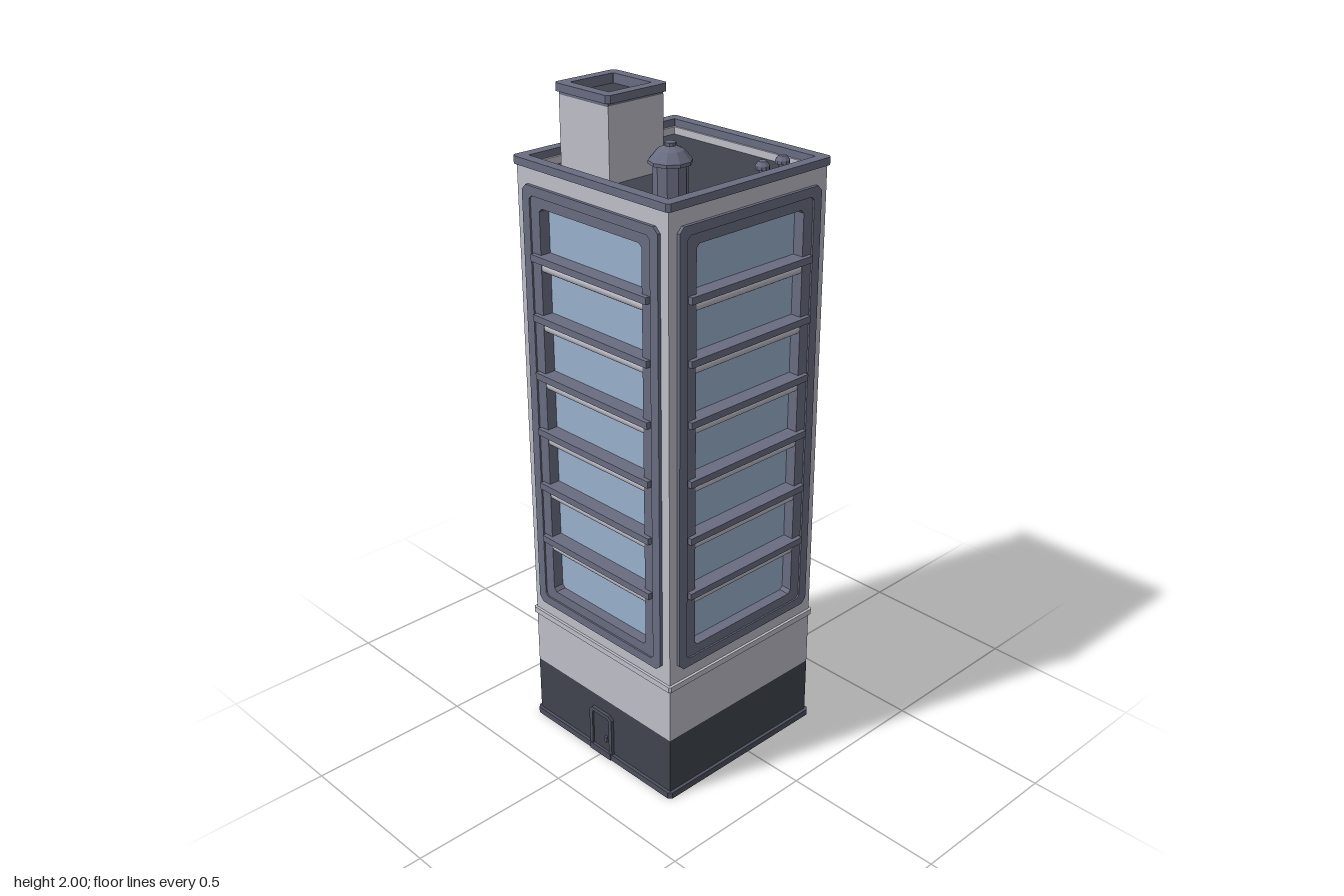
import * as THREE from 'three';

const mat = (name, color, side = THREE.FrontSide) => {
  const m = new THREE.MeshStandardMaterial({ color, side });
  m.name = name;
  return m;
};

export function createModel() {
  const wall = mat('pale wall', 0xbdbec8), dark = mat('charcoal', 0x40444d);
  const trim = mat('slate trim', 0x696c80), glass = mat('blue glass', 0x98b1cd);
  const green = mat('green awning', 0x43a77f), amber = mat('amber sign', 0xc8963f);
  const deep = mat('dark door trim', 0x4c4f5d);

  const model = new THREE.Group();
  model.name = 'officeTower';
  const H = 0.293, CZ = 0.027;
  const tower = new THREE.Group();
  tower.name = 'tower';
  tower.position.z = CZ;
  model.add(tower);

  const add = (parent, name, geo, m, x = 0, y = 0, z = 0) => {
    const mesh = new THREE.Mesh(geo, m);
    mesh.name = name;
    mesh.position.set(x, y, z);
    parent.add(mesh);
    return mesh;
  };
  const box = (parent, name, m, w, h, d, x, y, z) =>
    add(parent, name, new THREE.BoxGeometry(w, h, d), m, x, y, z);

  // Rectangle with cut corners, traced on a Shape or a Path
  const rect = (path, hw, hh, c) => {
    const pts = [[hw - c, -hh], [hw, -hh + c], [hw, hh - c], [hw - c, hh],
      [-hw + c, hh], [-hw, hh - c], [-hw, -hh + c], [-hw + c, -hh]];
    path.setFromPoints(pts.map(p => new THREE.Vector2(...p)));
    return path;
  };
  const plate = (hw, hh, c, depth, hole) => {
    const s = rect(new THREE.Shape(), hw, hh, c);
    if (hole) s.holes.push(rect(new THREE.Path(), ...hole));
    return new THREE.ExtrudeGeometry(s, { depth, bevelEnabled: false });
  };
  const slab = (...a) => plate(...a).rotateX(-Math.PI / 2);

  // Base, ledge and roof
  add(tower, 'plinth', slab(0.303, 0.303, 0.01, 0.02), deep);
  box(tower, 'groundFloor', dark, 2 * H, 0.19, 2 * H, 0, 0.105, 0);
  box(tower, 'firstFloor', wall, 2 * H, 0.2, 2 * H, 0, 0.3, 0);
  add(tower, 'ledge', slab(0.301, 0.301, 0.006, 0.018), wall, 0, 0.373, 0);
  box(tower, 'roofDeck', dark, 0.56, 0.02, 0.56, 0, 1.753, 0);
  add(tower, 'parapet', slab(0.303, 0.303, 0.01, 0.022, [0.27, 0.27, 0.001]), trim, 0, 1.783, 0);
  add(tower, 'parapetLining', slab(0.279, 0.279, 0.001, 0.05, [0.27, 0.27, 0.001]), trim, 0, 1.745, 0);

  // Four identical window walls
  const WY = 1.084, wallMid = 1.0915;
  for (let i = 0; i < 4; i++) {
    const side = new THREE.Group();
    side.name = 'windowWall' + (i + 1);
    side.rotation.y = i * Math.PI / 2;
    tower.add(side);
    const panel = new THREE.Shape();
    panel.setFromPoints([[-H, 0.39], [H, 0.39], [H, 1.784], [-H, 1.784]].map(p => new THREE.Vector2(...p)));
    panel.holes.push(new THREE.Path([[-0.23, 0.46], [-0.23, 1.708], [0.23, 1.708], [0.23, 0.46]]
      .map(p => new THREE.Vector2(...p))));
    add(side, 'wallPanel', new THREE.ExtrudeGeometry(panel, { depth: 0.03, bevelEnabled: false }), wall, 0, 0, H - 0.03);
    box(side, 'windowGlass', glass, 0.45, 1.24, 0.006, 0, WY, 0.262);
    add(side, 'outerFrame', plate(0.264, 0.652, 0.016, 0.014, [0.235, 0.625, 0.01]), trim, 0, WY, 0.289);
    add(side, 'innerFrame', plate(0.236, 0.626, 0.01, 0.036, [0.2, 0.595, 0.01]), trim, 0, WY, 0.262);
    for (let k = 0; k < 6; k++) {
      const y = 0.664 + k * 0.1745;
      box(side, 'floorBar', trim, 0.456, 0.02, 0.047, 0, y, 0.288);
      add(side, 'blindRoll', new THREE.CylinderGeometry(0.017, 0.017, 0.402, 16).rotateZ(Math.PI / 2),
        wall, 0, y - 0.026, 0.28);
    }
  }

  // A framed doorway facing +z, standing on its own y = 0
  const doorway = (parent, name, w, h, leafMat, frameMat) => {
    const g = new THREE.Group();
    g.name = name;
    parent.add(g);
    add(g, 'doorFrame', plate(w / 2, h / 2, 0.012, 0.012, [w / 2 - 0.013, h / 2 - 0.013, 0.004]), frameMat, 0, h / 2, -0.002);
    box(g, 'doorLeaf', leafMat, w - 0.02, h - 0.02, 0.006, 0, h / 2, 0.001);
    return g;
  };

  // Front service door
  const service = doorway(tower, 'frontDoor', 0.098, 0.155, dark, deep);
  service.position.z = H;
  box(service, 'doorHandle', trim, 0.006, 0.02, 0.008, 0.022, 0.065, 0.007);
  box(service, 'doorStep', deep, 0.09, 0.022, 0.014, 0, 0.011, 0.006);

  // Back entrance: glazed double door, shop windows, canopy and sign
  const entry = new THREE.Group();
  entry.name = 'backEntrance';
  entry.rotation.y = Math.PI;
  entry.position.z = -H;
  tower.add(entry);
  const main = doorway(entry, 'entranceDoor', 0.125, 0.175, glass, trim);
  box(main, 'doorMullion', deep, 0.01, 0.155, 0.012, 0, 0.085, 0.003);
  box(main, 'doorSill', deep, 0.11, 0.025, 0.012, 0, 0.0125, 0.004);
  for (const s of [-1, 1]) {
    box(main, 'pullHandle', deep, 0.004, 0.04, 0.008, s * 0.012, 0.085, 0.007);
    const shop = doorway(entry, 'shopWindow', 0.122, 0.148, glass, trim);
    shop.position.set(s * 0.203, 0.025, 0);
    box(shop, 'amberStrip', amber, 0.096, 0.015, 0.005, 0, 0.021, 0.003);
    box(shop, 'windowSill', deep, 0.13, 0.01, 0.016, 0, 0.004, 0.004);
    add(entry, 'canopyPost', new THREE.CylinderGeometry(0.006, 0.006, 0.178, 10), deep, s * 0.078, 0.089, 0.042);
  }
  const canopy = new THREE.Shape([[-0.097, 0], [0.097, 0], [0.097, 0.064], [0.086, 0.076], [-0.086, 0.076], [-0.097, 0.064]]
    .map(p => new THREE.Vector2(...p)));
  const awning = add(entry, 'awning', new THREE.ExtrudeGeometry(canopy, { depth: 0.01, bevelEnabled: false })
    .rotateX(Math.PI / 2), green, 0, 0.198, -0.001);
  awning.rotation.x = 0.3;
  add(entry, 'sign', plate(0.097, 0.022, 0.012, 0.034), amber, 0, 0.238, -0.002);

  // Rooftop stair house with rimmed top and door
  const house = new THREE.Group();
  house.name = 'stairHouse';
  house.position.set(-0.1135, 1.76, 0.138);
  model.add(house);
  box(house, 'houseWalls', wall, 0.194, 0.21, 0.194, 0, 0.105, 0);
  box(house, 'houseRoof', dark, 0.16, 0.004, 0.16, 0, 0.211, 0);
  add(house, 'houseRim', slab(0.107, 0.107, 0.01, 0.022, [0.075, 0.075, 0.001]), trim, 0, 0.218, 0);
  add(house, 'rimLining', slab(0.097, 0.097, 0.001, 0.012, [0.075, 0.075, 0.001]), trim, 0, 0.208, 0);
  const hd = doorway(house, 'roofDoor', 0.098, 0.15, dark, deep);
  hd.rotation.y = Math.PI;
  hd.position.z = -0.097;
  box(hd, 'doorHandle', trim, 0.006, 0.018, 0.008, 0.022, 0.065, 0.007);

  // Vents: one large with a conical cap, two small
  const vent = (name, x, z, y, profile, seg) => add(model, name,
    new THREE.LatheGeometry(profile.map(p => new THREE.Vector2(...p)), seg).toNonIndexed(), trim, x, y, z)
    .geometry.computeVertexNormals();
  vent('largeVent', 0.146, 0.172, 1.76, [[0.046, 0], [0.046, 0.085], [0.058, 0.085], [0.058, 0.094],
    [0.036, 0.12], [0.015, 0.13], [0.015, 0.139], [0, 0.139]], 10);
  for (const z of [-0.17, -0.092]) {
    vent('smallVent', 0.219, z, 1.76, [[0.011, 0], [0.011, 0.03], [0.02, 0.03], [0.02, 0.04], [0.012, 0.052], [0, 0.052]], 10);
  }
  return model;
}
